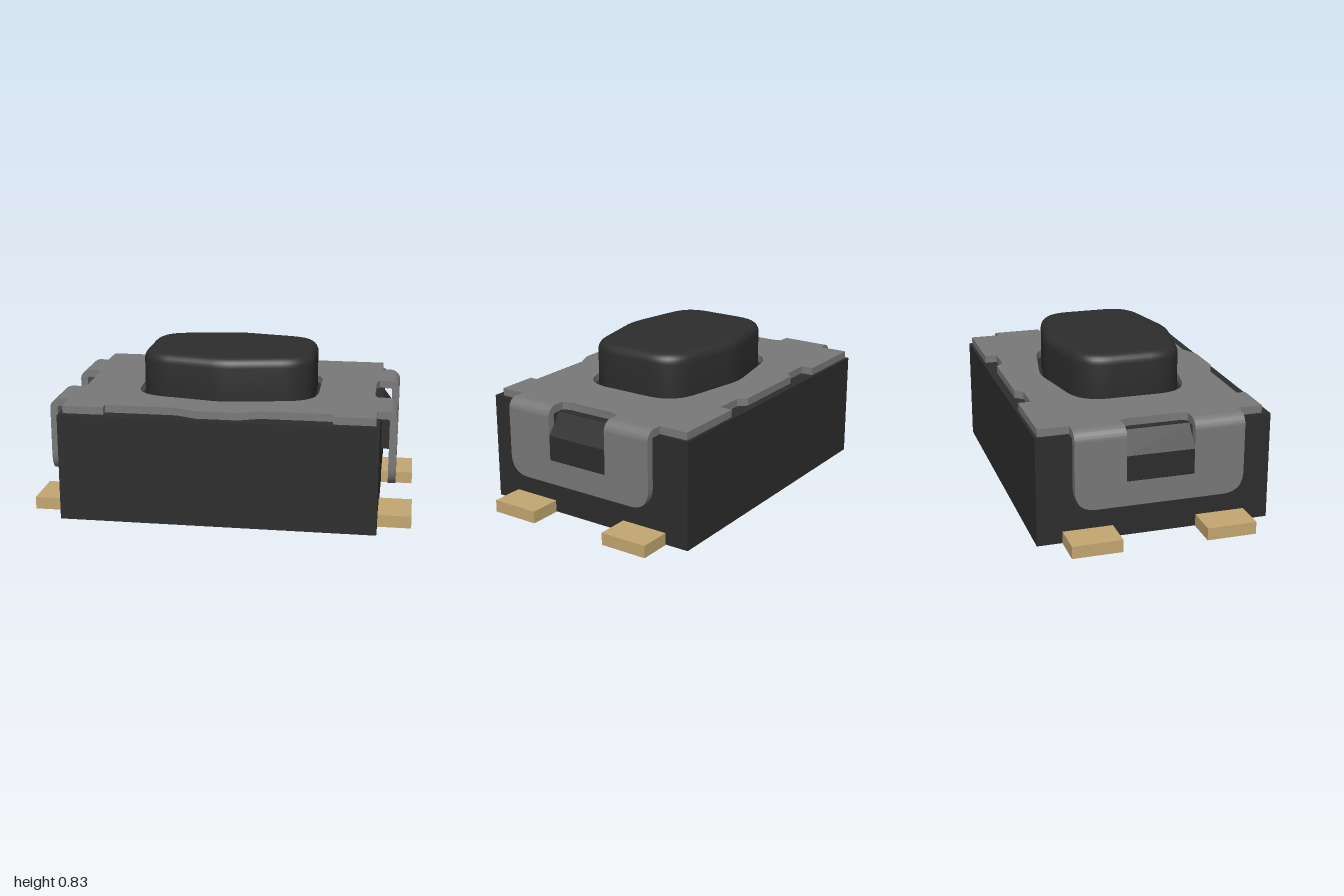
import * as THREE from 'three';
import { toCreasedNormals } from 'three/addons/utils/BufferGeometryUtils.js';

const mat = (name, color) => {
  const m = new THREE.MeshStandardMaterial({ color });
  m.name = name;
  return m;
};

// Closed outline from [x, y, cornerCut]; a cut above 0 rounds that corner
function roundedOutline(points, Type = THREE.Shape) {
  const out = new Type();
  points.forEach(([x, y, cut = 0], i) => {
    const p = new THREE.Vector2(x, y);
    const toward = (q) => p.clone().add(new THREE.Vector2(q[0], q[1]).sub(p).setLength(cut));
    const a = toward(points[(i + points.length - 1) % points.length]);
    const b = toward(points[(i + 1) % points.length]);
    if (i === 0) out.moveTo(a.x, a.y);
    else out.lineTo(a.x, a.y);
    if (cut > 0) out.quadraticCurveTo(p.x, p.y, b.x, b.y);
  });
  out.closePath();
  return out;
}

const extrude = (shape, depth, options = {}) =>
  new THREE.ExtrudeGeometry(shape, { depth, bevelEnabled: false, curveSegments: 10, ...options });

// Six-cornered push button outline, grown outward by g
const buttonOutline = (g, Type) => {
  const w = 0.46 + g, side = 0.265 + g * 0.9, tip = 0.355 + g;
  return roundedOutline([
    [w, -side, 0.16], [w, side, 0.16], [0, tip, 0.07],
    [-w, side, 0.16], [-w, -side, 0.16], [0, -tip, 0.07],
  ], Type);
};

export function createModel() {
  const model = new THREE.Group();
  const black = mat('black plastic', 0x2d2d2d);
  const steel = mat('grey steel', 0x797979);
  const brass = mat('brass', 0xc4a871);

  const add = (parent, name, geometry, material) => {
    const mesh = new THREE.Mesh(geometry, material);
    mesh.name = name;
    parent.add(mesh);
    return mesh;
  };

  // Housing
  add(model, 'housing', new THREE.BoxGeometry(1.65, 0.567, 1.22), black).position.y = 0.2865;

  // Push button with a softly rounded top edge
  const button = extrude(buttonOutline(0), 0.23, {
    bevelEnabled: true, bevelThickness: 0.05, bevelSize: 0.05, bevelOffset: -0.05, bevelSegments: 6,
  });
  button.rotateX(Math.PI / 2).translate(0, 0.78, 0);
  add(model, 'button', toCreasedNormals(button, 0.6), black);

  // Cover plate: right half of the outline from back to front, then mirrored
  const half = [
    [0.22, -0.57], [0.26, -0.53], [0.415, -0.53], [0.415, -0.595], [0.81, -0.595],
    [0.81, -0.437], [0.855, -0.437], [0.855, -0.175], [0.8, -0.175], [0.785, -0.13],
    [0.785, 0.13], [0.8, 0.175], [0.855, 0.175], [0.855, 0.437], [0.805, 0.437],
    [0.805, 0.57], [0.59, 0.57], [0.59, 0.525], [0.215, 0.525], [0.11, 0.57],
  ];
  const plate = roundedOutline([...half, ...half.map(([x, z]) => [-x, z]).reverse()]);
  plate.holes.push(buttonOutline(0.024, THREE.Path));
  const plateGeo = extrude(plate, 0.042).rotateX(Math.PI / 2).translate(0, 0.61, 0);
  add(model, 'coverPlate', toCreasedNormals(plateGeo, 0.5), steel);

  // Profiles shared by both ends
  const bend = new THREE.Shape();
  bend.absarc(0.855, 0.555, 0.055, 0, Math.PI / 2, false);
  bend.absarc(0.855, 0.555, 0.015, Math.PI / 2, 0, true);
  bend.closePath();
  const bendGeo = toCreasedNormals(extrude(bend, 0.262), 0.5);
  const tab = roundedOutline([
    [-0.437, 0.555], [-0.437, 0.2, 0.11], [0.437, 0.2, 0.11], [0.437, 0.555],
    [0.175, 0.555], [0.175, 0.328], [-0.175, 0.328], [-0.175, 0.555],
  ]);
  const tabGeo = toCreasedNormals(extrude(tab, 0.04).rotateY(Math.PI / 2), 0.5);
  const latch = roundedOutline([[0.8, 0.328], [0.908, 0.328], [0.908, 0.46], [0.825, 0.567], [0.8, 0.567]]);
  const latchGeo = extrude(latch, 0.35);

  // Each end: bent clip, catch and two terminals
  for (const [name, turn] of [['leftEnd', 0], ['rightEnd', Math.PI]]) {
    const end = new THREE.Group();
    end.name = name;
    end.rotation.y = turn;
    model.add(end);
    add(end, 'clipTab', tabGeo, steel).position.x = 0.87;
    add(end, 'clipBendFront', bendGeo, steel).position.z = 0.175;
    add(end, 'clipBendBack', bendGeo, steel).position.z = -0.437;
    add(end, 'catch', latchGeo, black).position.z = -0.175;
    for (const s of [1, -1]) {
      add(end, 'terminal', new THREE.BoxGeometry(0.25, 0.065, 0.26), brass).position.set(0.875, 0.0325, s * 0.349);
    }
  }
  return model;
}
